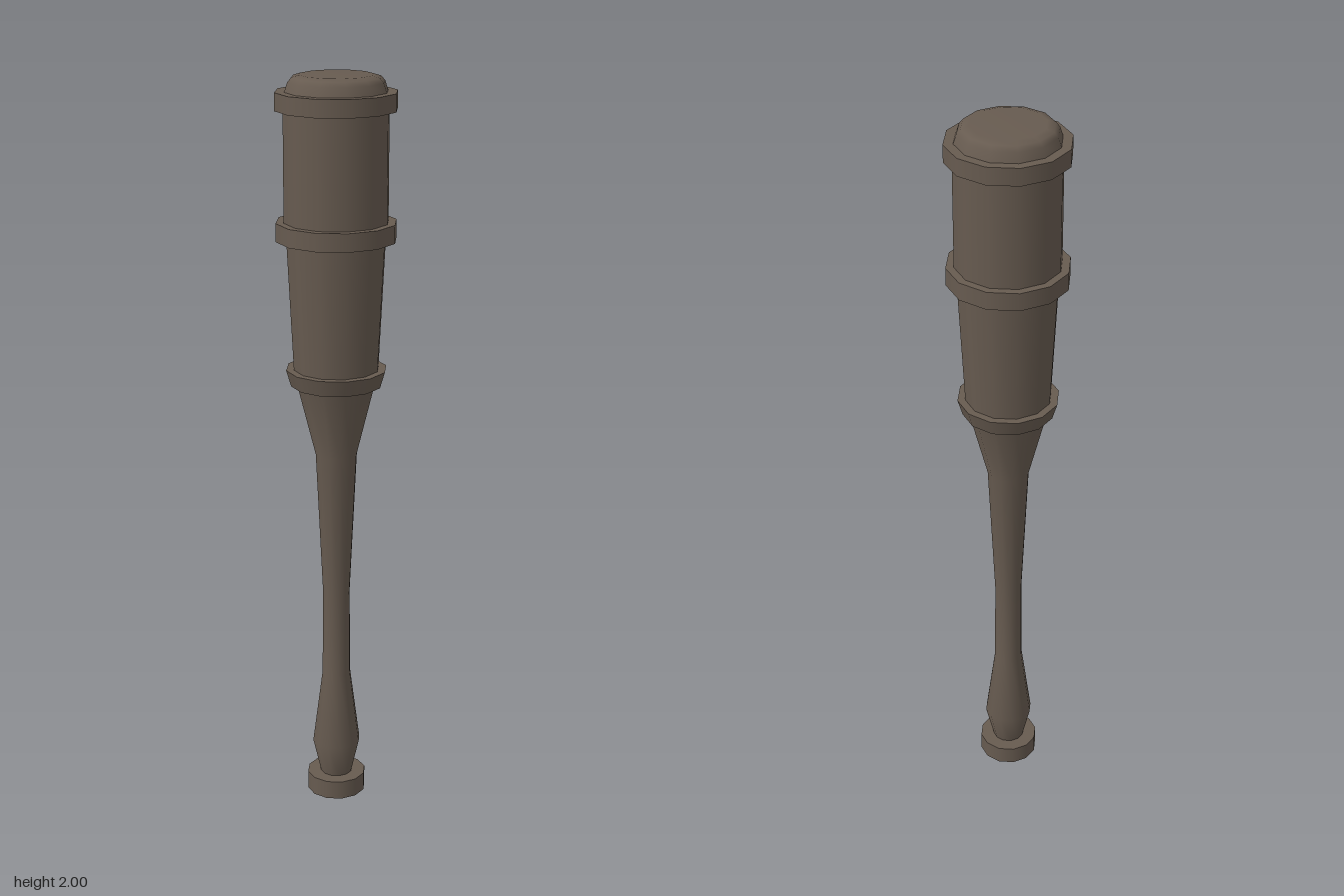
import * as THREE from 'three';

const SIDES = 12;

export function createModel() {
  const group = new THREE.Group();
  const wood = new THREE.MeshStandardMaterial({ color: 0x675b50 });
  wood.name = 'dark wood';

  const add = (name, geometry, y = 0) => {
    const mesh = new THREE.Mesh(geometry, wood);
    mesh.name = name;
    mesh.position.y = y;
    group.add(mesh);
  };
  // Turned section from [radius, height] points, bottom to top
  const turned = (name, points) =>
    add(name, new THREE.LatheGeometry(points.map(([r, y]) => new THREE.Vector2(r, y)), SIDES));
  // Closed ring or disc between two heights
  const band = (name, y0, y1, bottom, top = bottom) =>
    add(name, new THREE.CylinderGeometry(top, bottom, y1 - y0, SIDES), (y0 + y1) / 2);

  // Grip and neck
  band('pommel', 0, 0.052, 0.081);
  turned('handle', [
    [0.043, 0.05], [0.066, 0.15], [0.039, 0.36], [0.037, 0.6], [0.056, 1.0], [0.106, 1.2],
  ]);

  // Barrel with its three bands
  band('lowerBand', 1.193, 1.237, 0.121, 0.134);
  turned('lowerBarrel', [[0.113, 1.23], [0.131, 1.59]]);
  band('middleBand', 1.58, 1.628, 0.158);
  turned('upperBarrel', [[0.137, 1.62], [0.137, 1.93]]);
  band('topBand', 1.912, 1.958, 0.158);

  // Softly rounded end
  turned('domedCap', [
    [0.134, 1.955], [0.125, 1.982], [0.115, 1.994], [0.095, 2.0], [0, 2.0],
  ]);

  return group;
}
